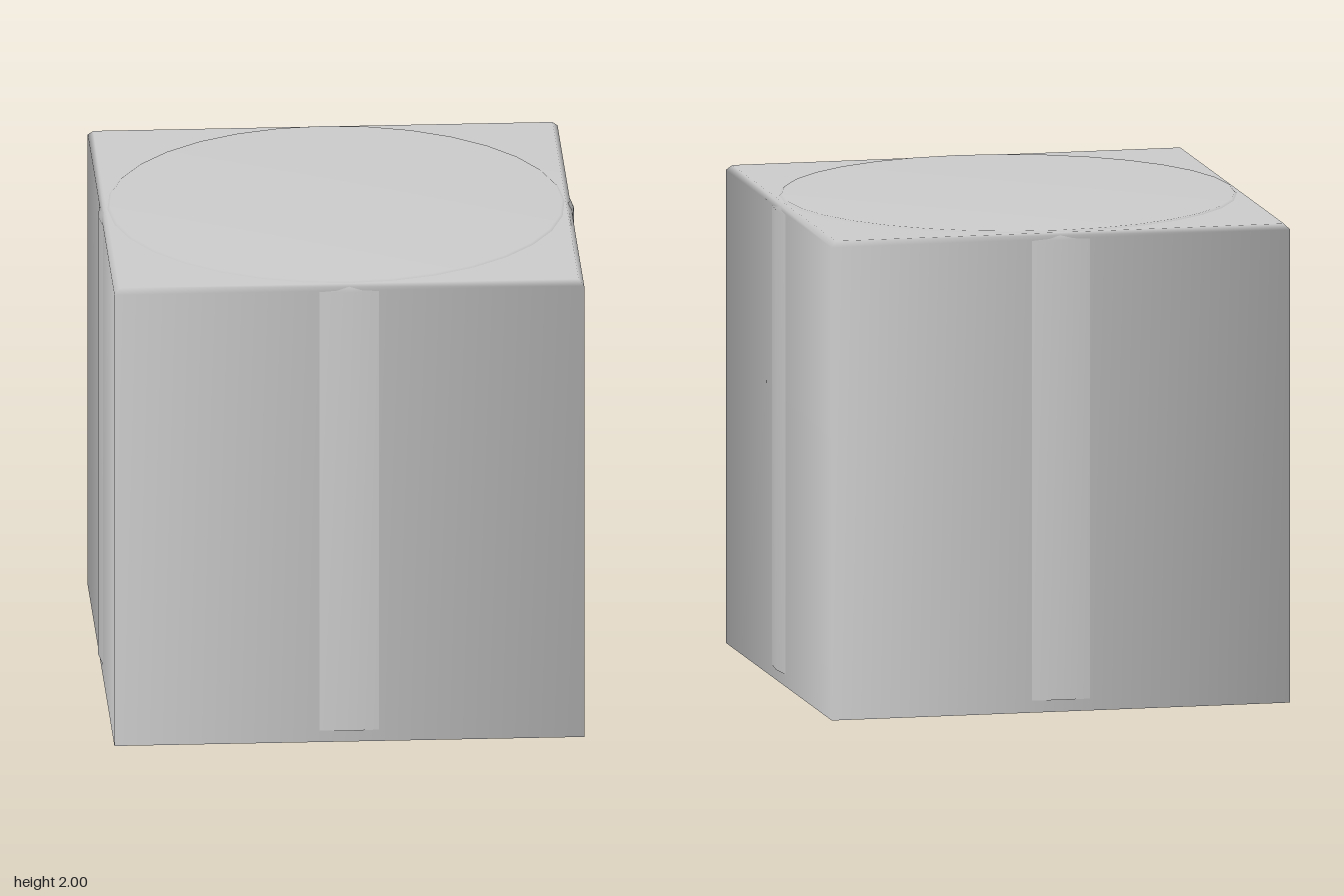
import * as THREE from 'three';

const HALF = 0.966;   // half width of the square block
const RADIUS = 0.978; // round liner, bulging slightly through the four walls
const RIM = 0.05;     // height of the liner's open lower rim
const SIDES = 32;

function makeMesh(name, geometry) {
  const material = new THREE.MeshStandardMaterial({ color: 0xcccccc, side: THREE.DoubleSide });
  const mesh = new THREE.Mesh(geometry, material);
  mesh.name = name;
  return mesh;
}

// Revolve a profile of [radius, height] pairs, smooth shaded
function revolve(profile, sides, start = 0, scale = 1) {
  const points = profile.map(([r, y]) => new THREE.Vector2(r * scale, y));
  return new THREE.LatheGeometry(points, sides, start);
}

// Underside corner: a fan from the block's corner up to the liner's rim
function cornerFan() {
  const reach = 0.115;
  const arc = [[HALF, reach]];
  for (let k = 1; k < SIDES / 4; k++) {
    const a = (k / SIDES) * Math.PI * 2;
    arc.push([RADIUS * Math.cos(a), RADIUS * Math.sin(a)]);
  }
  arc.push([reach, HALF]);

  const positions = [HALF, 0, HALF];
  const index = [];
  arc.forEach(([x, z], i) => {
    positions.push(x, RIM, z);
    if (i > 0) index.push(0, i + 1, i);
  });
  const geometry = new THREE.BufferGeometry();
  geometry.setAttribute('position', new THREE.Float32BufferAttribute(positions, 3));
  geometry.setIndex(index);
  // turn the winding so that the faces look down
  const [, p, q] = [0, 1, 2].map((i) => new THREE.Vector3().fromBufferAttribute(geometry.attributes.position, index[i]));
  const corner = new THREE.Vector3(HALF, 0, HALF);
  if (p.sub(corner).cross(q.sub(corner)).y > 0) geometry.setIndex(index.reverse());
  geometry.computeVertexNormals();
  return geometry;
}

export function createModel() {
  const group = new THREE.Group();
  group.name = 'hollowBlock';

  // Square outer block, four sided, with a small bevel around the top
  const block = [[HALF, 0], [HALF, 1.97], [HALF - 0.022, 1.993], [0, 1.993]];
  group.add(makeMesh('block', revolve(block, 4, Math.PI / 4, Math.SQRT2)));

  // Round liner, closed at the top and open below
  const liner = [[RADIUS, RIM], [RADIUS, 1.965], [0.93, 2], [0, 2]];
  group.add(makeMesh('liner', revolve(liner, SIDES)));

  // Four underside corners
  const underside = new THREE.Group();
  underside.name = 'underside';
  const fan = cornerFan();
  for (let i = 0; i < 4; i++) {
    const corner = makeMesh('undersideCorner', fan);
    corner.rotation.y = (i * Math.PI) / 2;
    underside.add(corner);
  }
  group.add(underside);

  return group;
}
